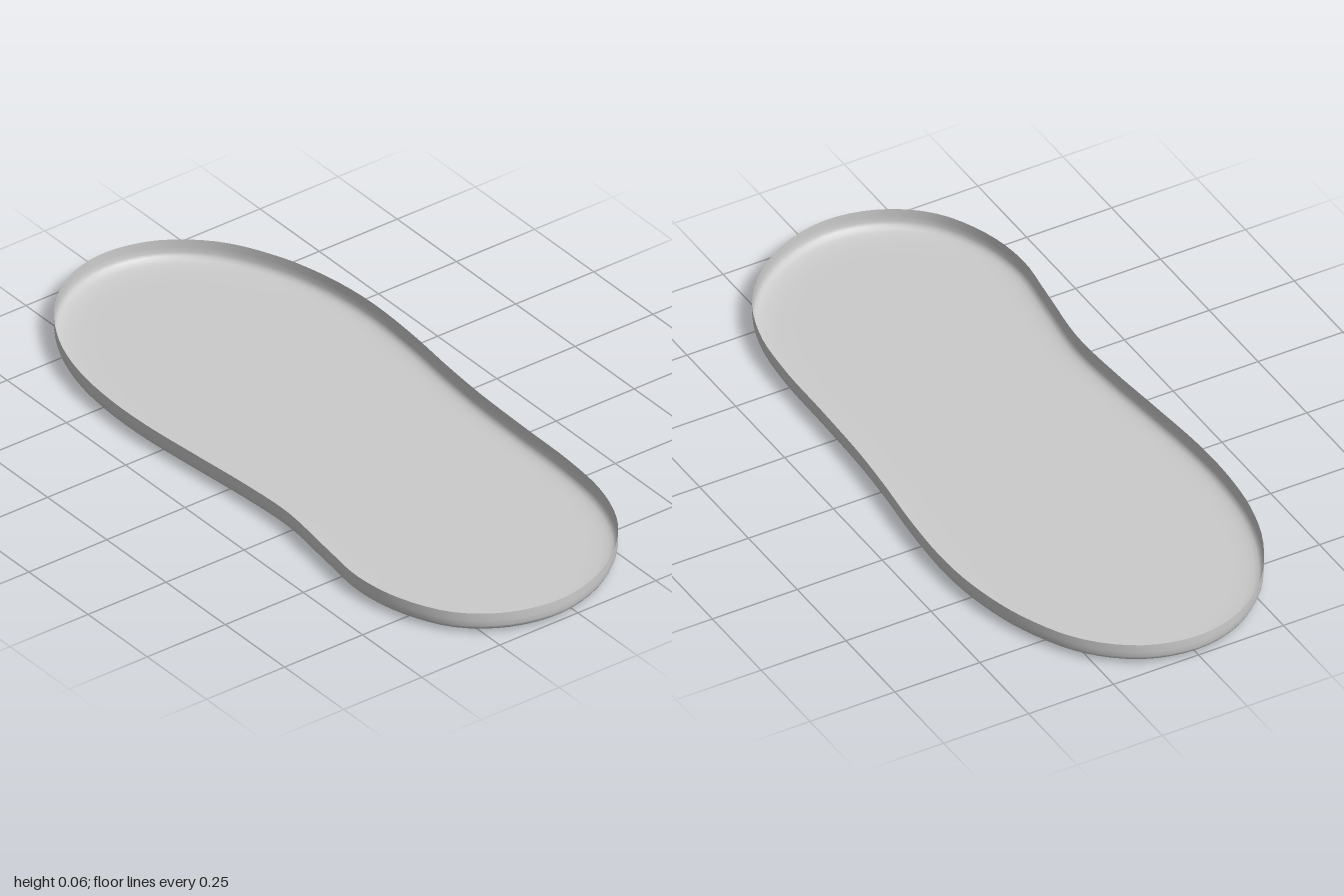
import * as THREE from 'three';

// Plan outline as [x, z], running from the back round the left side to the front
const OUTLINE = [
  [0, -1], [0.14, -0.967], [0.265, -0.865], [0.348, -0.71], [0.39, -0.55], [0.404, -0.4],
  [0.396, -0.22], [0.378, -0.05], [0.366, 0.1], [0.36, 0.3], [0.356, 0.5], [0.336, 0.66],
  [0.28, 0.8], [0.185, 0.905], [0.07, 0.972], [-0.06, 0.998], [-0.2, 0.965], [-0.31, 0.88],
  [-0.38, 0.74], [-0.402, 0.6], [-0.386, 0.45], [-0.362, 0.25], [-0.369, 0.08], [-0.386, -0.1],
  [-0.403, -0.3], [-0.403, -0.45], [-0.385, -0.6], [-0.34, -0.74], [-0.25, -0.88], [-0.13, -0.97],
];

// Wall section as [inset, y], from the rim down to the floor
const SECTION = [
  [0, 0.062], [0, 0.04], [0.001, 0.024], [0.005, 0.015], [0.012, 0.009],
  [0.024, 0.005], [0.042, 0.002], [0.07, 0.0005], [0.11, 0],
];

function trayGeometry(segments = 128) {
  const curve = new THREE.CatmullRomCurve3(
    OUTLINE.map(([x, z]) => new THREE.Vector3(x, 0, z)), true, 'centripetal');
  const positions = [], index = [];

  // Rings of the outline, moved inward along its normal
  for (const [inset, y] of SECTION) {
    for (let i = 0; i < segments; i++) {
      const p = curve.getPointAt(i / segments);
      const t = curve.getTangentAt(i / segments);
      positions.push(p.x - t.z * inset, y, p.z + t.x * inset);
    }
  }

  // Wall and rounded lower edge
  for (let j = 0; j < SECTION.length - 1; j++) {
    for (let i = 0; i < segments; i++) {
      const k = (i + 1) % segments;
      const a = j * segments + i, b = j * segments + k;
      index.push(a, b, a + segments, b, b + segments, a + segments);
    }
  }

  // Flat floor
  const last = (SECTION.length - 1) * segments;
  const centre = positions.length / 3;
  positions.push(0, 0, 0);
  for (let i = 0; i < segments; i++) {
    index.push(last + i, last + (i + 1) % segments, centre);
  }

  const geometry = new THREE.BufferGeometry();
  geometry.setAttribute('position', new THREE.Float32BufferAttribute(positions, 3));
  geometry.setIndex(index);
  geometry.computeVertexNormals();
  return geometry;
}

export function createModel() {
  const group = new THREE.Group();
  group.name = 'soleTray';
  // Thin open shell, seen from inside and outside
  const material = new THREE.MeshStandardMaterial({ color: 0xcccccc, side: THREE.DoubleSide });
  const shell = new THREE.Mesh(trayGeometry(), material);
  shell.name = 'trayShell';
  group.add(shell);
  return group;
}
